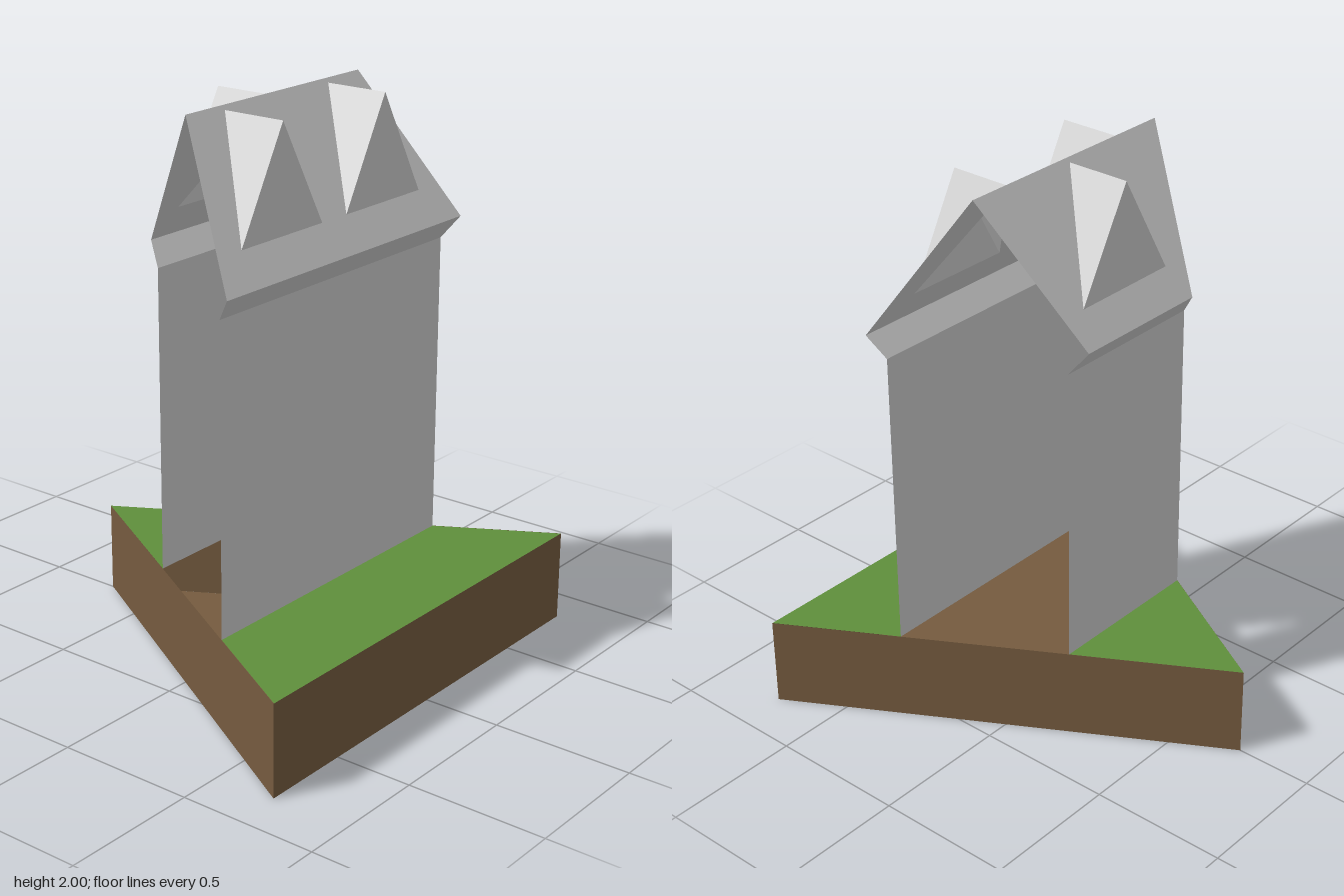
import * as THREE from 'three';

// Plan outline: a triangle with its point at the back; everything is cut to it
const BACK = -0.72, FRONT = 0.72, HALF = 0.83;
const GROUND = 0.33, WALL_TOP = 1.42, EAVE = 1.5, RIDGE = 2;
const RIDGE_Z = 0.06, EAVE_OUT = 0.316, WALL_OUT = 0.258;
const DORMER_OUT = 0.245, DORMER_TOP = 1.985;
const halfWidth = z => HALF * (z - BACK) / (FRONT - BACK);
const roofY = out => RIDGE - (RIDGE - EAVE) * out / EAVE_OUT;
const roofOut = y => EAVE_OUT * (RIDGE - y) / (RIDGE - EAVE);

const material = color => new THREE.MeshStandardMaterial({ color, side: THREE.DoubleSide, flatShading: true });
const grey = material(0xcccccc), earth = material(0x755b3f), grass = material(0x5f8f3c);

function add(group, name, geometry, mat) {
  const mesh = new THREE.Mesh(geometry, mat);
  mesh.name = name;
  group.add(mesh);
}

const points = list => list.map(([x, y]) => new THREE.Vector2(x, y));

// Thin sheet drawn in x and y; out(y) is its distance from the ridge line
function sheet(outline, out, side, holes = []) {
  const shape = new THREE.Shape(points(outline));
  shape.holes = holes.map(h => new THREE.Path(points(h)));
  const geometry = new THREE.ShapeGeometry(shape);
  const p = geometry.attributes.position;
  for (let i = 0; i < p.count; i++) {
    p.setXYZ(i, p.getX(i) * side, p.getY(i), RIDGE_Z + side * out(p.getY(i)));
  }
  geometry.computeVertexNormals();
  return geometry;
}

// Horizontal slice of the plan triangle between two depths
function slab(z0, z1, y, up) {
  const a = halfWidth(z0), b = halfWidth(z1);
  const corners = a < 1e-6 ? [[0, z0], [b, z1], [-b, z1]] : [[-a, z0], [a, z0], [b, z1], [-b, z1]];
  const shape = new THREE.Shape(points(corners.map(([x, z]) => [x, -up * z])));
  return new THREE.ShapeGeometry(shape).rotateX(-up * Math.PI / 2).translate(0, y, 0);
}

// Gabled dormer: upright front triangle and two sloping sides
function dormer(cx, w, side) {
  const y0 = roofY(DORMER_OUT), z = RIDGE_Z + side * DORMER_OUT;
  const l = [cx - side * w, y0, z], r = [cx + side * w, y0, z];
  const top = [cx, DORMER_TOP, z];
  const back = [cx, DORMER_TOP, RIDGE_Z + side * roofOut(DORMER_TOP)];
  const faces = [l, r, top, r, back, top, l, top, back];
  const geometry = new THREE.BufferGeometry();
  geometry.setAttribute('position', new THREE.Float32BufferAttribute(faces.flat(), 3));
  geometry.computeVertexNormals();
  return geometry;
}

// One long side of the house: wall, soffit, roof slope and dormers
function houseSide(name, side, dormerXs, dormerHalf) {
  const group = new THREE.Group();
  group.name = name;
  const wallHalf = halfWidth(RIDGE_Z + side * WALL_OUT);
  const eaveHalf = halfWidth(RIDGE_Z + side * EAVE_OUT);
  const ridgeHalf = halfWidth(RIDGE_Z);
  const flat = () => WALL_OUT;
  const rect = (x0, x1, y0, y1) => [[x0, y0], [x1, y0], [x1, y1], [x0, y1]];

  // Three storeys of bay panels with plain bands between
  for (let floor = 0; floor < 3; floor++) {
    const y = GROUND + floor * 0.42;
    for (const cx of [-0.4, 0, 0.4]) {
      const x0 = Math.max(cx - 0.2, -wallHalf), x1 = Math.min(cx + 0.2, wallHalf);
      add(group, 'bayPanel', sheet(rect(x0, x1, y, y + 0.25), flat, side), grey);
    }
    if (floor < 2) add(group, 'wallBand', sheet(rect(-wallHalf, wallHalf, y + 0.25, y + 0.42), flat, side), grey);
  }

  // Sloping underside of the eave
  const soffitOut = y => WALL_OUT + (EAVE_OUT - WALL_OUT) * (y - WALL_TOP) / (EAVE - WALL_TOP);
  add(group, 'soffit', sheet([[-wallHalf, WALL_TOP], [wallHalf, WALL_TOP], [eaveHalf, EAVE], [-eaveHalf, EAVE]], soffitOut, side), grey);

  // Roof slope, open beneath each dormer
  const y0 = roofY(DORMER_OUT);
  const holes = dormerXs.map(x => [[x - dormerHalf, y0], [x, DORMER_TOP], [x + dormerHalf, y0]]);
  add(group, 'roofSlope', sheet([[-eaveHalf, EAVE], [eaveHalf, EAVE], [ridgeHalf, RIDGE], [-ridgeHalf, RIDGE]], roofOut, side, holes), grey);
  for (const x of dormerXs) add(group, 'dormer', dormer(x, dormerHalf, side), grey);
  return group;
}

export function createModel() {
  const model = new THREE.Group();
  model.name = 'triangularHouse';

  // Hollow earth base, open between the walls
  const radius = (FRONT - BACK) * 2 / 3;
  const sides = new THREE.CylinderGeometry(radius, radius, GROUND, 3, 1, true);
  sides.rotateY(Math.PI).translate(0, GROUND / 2, BACK + radius);
  add(model, 'baseSides', sides, earth);
  add(model, 'baseBottom', slab(BACK, FRONT, 0, -1), earth);

  // Lawns in front of and behind the house
  add(model, 'frontLawn', slab(RIDGE_Z + WALL_OUT, FRONT, GROUND, 1), grass);
  add(model, 'backLawn', slab(BACK, RIDGE_Z - WALL_OUT, GROUND, 1), grass);

  model.add(houseSide('houseFront', 1, [-0.27, 0.27], 0.205));
  model.add(houseSide('houseBack', -1, [0], 0.21));
  return model;
}
